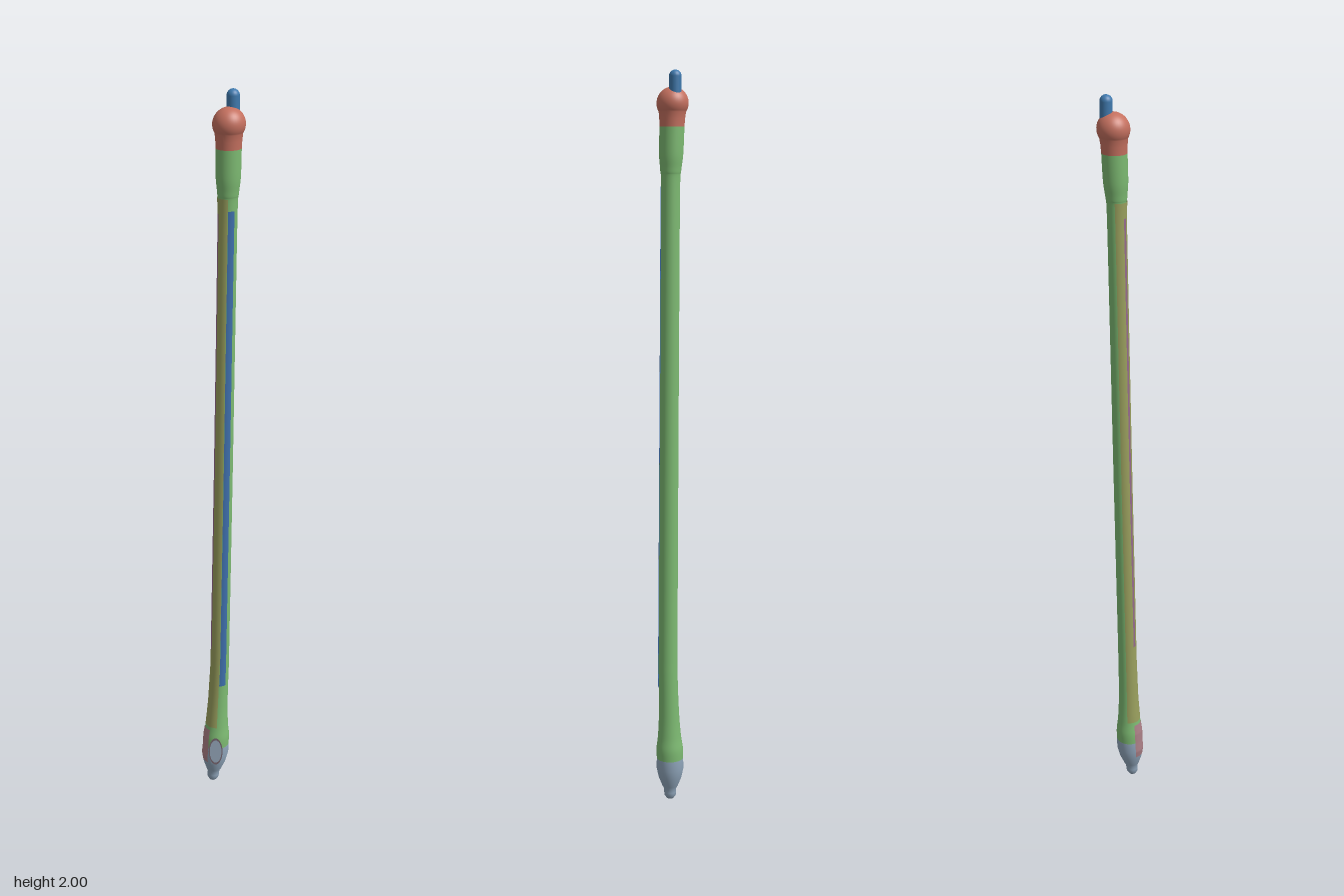
import * as THREE from 'three';

// Centreline of the slightly leaning, bowed pole: x and z at each height y
const AXIS = [
  [0, -0.029, 0.022], [0.12, -0.02, 0.017], [0.4, -0.008, 0.016], [1, 0.002, 0.006],
  [1.75, 0.013, -0.006], [1.92, 0.015, -0.013], [2, 0.017, -0.015],
];
const FLAT_Z = 0.053; // plane that trims the front of the foot

function centre(y) {
  let i = 0;
  while (i < AXIS.length - 2 && y > AXIS[i + 1][0]) i++;
  const a = AXIS[i], b = AXIS[i + 1];
  const t = (y - a[0]) / (b[0] - a[0]);
  return [a[1] + (b[1] - a[1]) * t, a[2] + (b[2] - a[2]) * t];
}

// Radius of the green tube and its foot by height
const TUBE = [
  [0.037, 0.13], [0.037, 0.16], [0.032, 0.2], [0.028, 0.27], [0.026, 0.4], [0.0255, 0.7], [0.025, 1],
  [0.0245, 1.4], [0.0245, 1.7], [0.027, 1.75], [0.031, 1.79], [0.032, 1.86],
];
const FOOT = [
  [0, 0.004], [0.01, 0.005], [0.016, 0.014], [0.017, 0.024], [0.017, 0.034], [0.022, 0.044],
  [0.032, 0.07], [0.038, 0.1], [0.037, 0.13],
];

function radiusAt(y) {
  const p = y < 0.13 ? FOOT : TUBE;
  let i = 0;
  while (i < p.length - 2 && y > p[i + 1][1]) i++;
  return p[i][0] + (p[i + 1][0] - p[i][0]) * (y - p[i][1]) / (p[i + 1][1] - p[i][1]);
}

// Turned section that follows the centreline; angles run from +z towards +x
function turned(name, profile, color, from = 180, sweep = 360) {
  const pts = profile.map(([r, y]) => new THREE.Vector2(r, y));
  const segments = Math.max(4, Math.round(sweep / 9));
  const geo = new THREE.LatheGeometry(pts, segments, THREE.MathUtils.degToRad(from), THREE.MathUtils.degToRad(sweep));
  const pos = geo.attributes.position, nor = geo.attributes.normal;
  for (let i = 0; i < pos.count; i++) {
    const y = pos.getY(i), [cx, cz] = centre(y);
    const z = pos.getZ(i) + cz;
    pos.setX(i, pos.getX(i) + cx);
    pos.setZ(i, Math.min(z, FLAT_Z));
    if (z > FLAT_Z) nor.setXYZ(i, 0, 0, 1);
  }
  const mat = new THREE.MeshStandardMaterial({ color });
  if (sweep < 360) mat.side = THREE.DoubleSide;
  const mesh = new THREE.Mesh(geo, mat);
  mesh.name = name;
  return mesh;
}

// Thin skin lying just above the tube between two heights
function skin(name, y0, y1, lift, color, from, sweep) {
  const profile = [];
  const n = 40;
  for (let i = 0; i <= n; i++) {
    const y = y0 + (y1 - y0) * i / n;
    profile.push([radiusAt(y) + lift, y]);
  }
  return turned(name, profile, color, from, sweep);
}

export function createModel() {
  const model = new THREE.Group();
  model.name = 'pole';

  // Foot with its small rounded nub
  model.add(turned('foot', FOOT, 0x8fa5ba));

  // Long tube, smoothed through the profile points
  const curve = new THREE.SplineCurve(TUBE.map(([r, y]) => new THREE.Vector2(r, y)));
  model.add(turned('tube', curve.getPoints(88).map((p) => [p.x, p.y]), 0x7dba72));

  // Coloured strips along the tube
  model.add(skin('sidePanel', 0.2, 1.74, 0.0005, 0x9aa05e, 230, 130));
  model.add(skin('edgeStripe', 0.45, 1.7, 0.0011, 0x95698c, 283, 16));
  model.add(skin('frontStripe', 0.34, 1.71, 0.0015, 0x3f70ad, 2, 38));
  model.add(skin('footSidePatch', 0.08, 0.19, 0.0008, 0xac8087, 265, 60));

  // Oval flat on the front of the foot, with a darker rim
  [['flatRim', 0x75656f, 1, 0.0004], ['flatFace', 0x95a6b9, 0.85, 0.0008]].forEach(([name, color, s, lift]) => {
    const oval = new THREE.Mesh(new THREE.CircleGeometry(1, 40), new THREE.MeshStandardMaterial({ color }));
    oval.name = name;
    oval.scale.set(0.02 * s, 0.046 * s, 1);
    oval.position.set(-0.02, 0.122, FLAT_Z + lift);
    model.add(oval);
  });

  // Ball head with a short collar
  const head = [[0.032, 1.86], [0.033, 1.88]];
  for (let i = 0; i <= 20; i++) {
    const a = -0.55 + (Math.PI / 2 + 0.55) * i / 20;
    head.push([Math.max(0, 0.041 * Math.cos(a)), 1.918 + 0.041 * Math.sin(a)]);
  }
  model.add(turned('head', head, 0xc4705f));

  // Rounded tip set off-centre on the head
  const tip = new THREE.Mesh(
    new THREE.CapsuleGeometry(0.016, 0.04, 8, 24),
    new THREE.MeshStandardMaterial({ color: 0x3f79ad })
  );
  tip.name = 'tip';
  tip.position.set(0.025, 1.964, -0.027);
  model.add(tip);

  return model;
}
